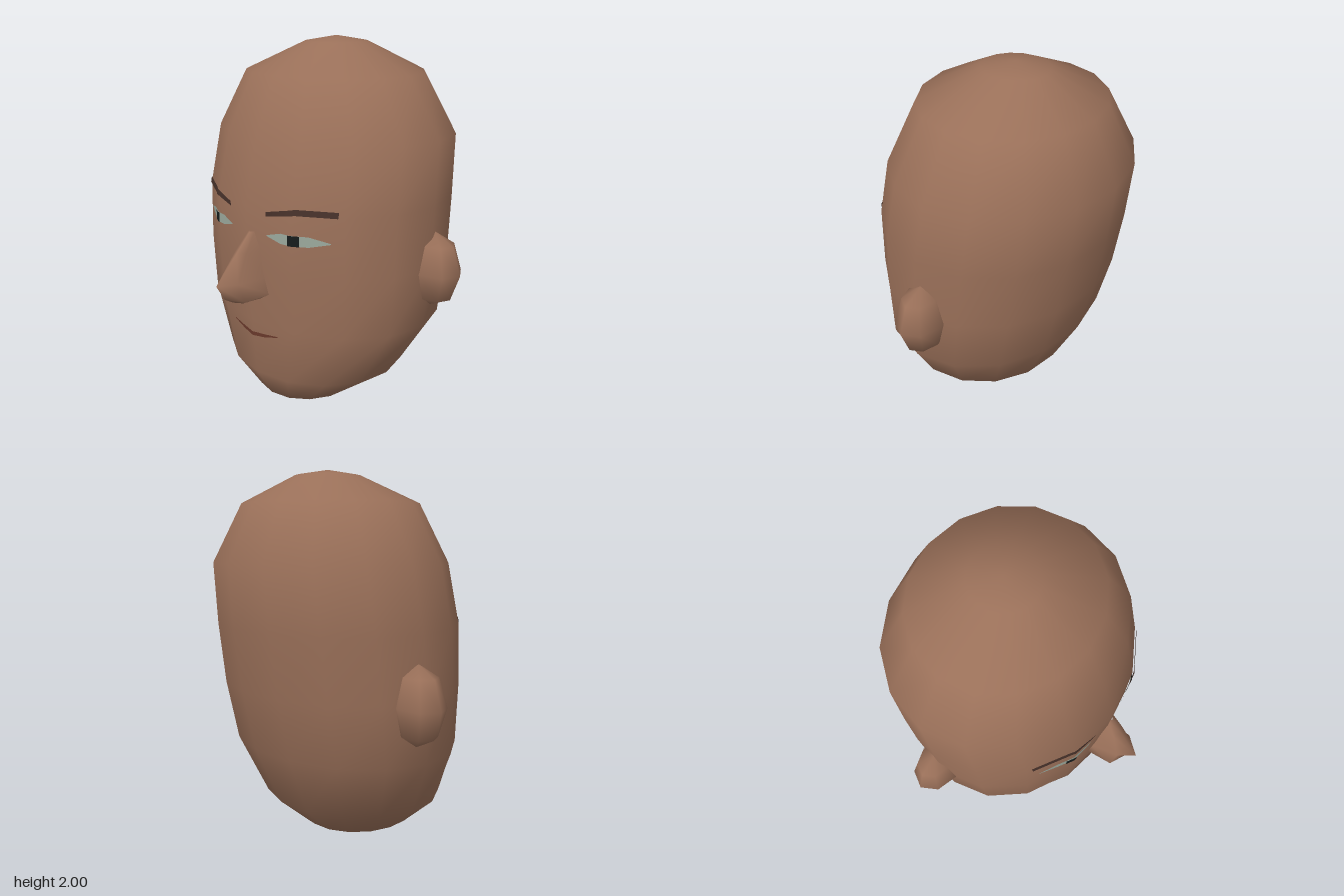
import * as THREE from 'three';

const SIDES = 16;
// Skull cross-sections, chin to crown: [y, half width, front z, back z]
const RINGS = [
  [0, 0.3, 0.39, -0.26],
  [0.19, 0.54, 0.5, -0.48],
  [0.52, 0.72, 0.52, -0.63],
  [0.85, 0.735, 0.54, -0.7],
  [1.18, 0.725, 0.54, -0.74],
  [1.51, 0.7, 0.46, -0.76],
  [1.82, 0.51, 0.33, -0.61],
  [1.97, 0.17, 0.03, -0.33],
];

const material = (color, side = THREE.FrontSide) =>
  new THREE.MeshStandardMaterial({ color, side, roughness: 0.9 });

function meshFrom(name, positions, index, mat) {
  const geometry = new THREE.BufferGeometry();
  geometry.setAttribute('position', new THREE.Float32BufferAttribute(positions, 3));
  geometry.setIndex(index);
  geometry.computeVertexNormals();
  const mesh = new THREE.Mesh(geometry, mat);
  mesh.name = name;
  return mesh;
}

// Point k of an elliptical ring; k = 0 is the middle of the face, then towards +x
function ringPoint([y, w, front, back], k) {
  const a = (k / SIDES) * Math.PI * 2;
  return [w * Math.sin(a), y, (front + back) / 2 + ((front - back) / 2) * Math.cos(a)];
}

// Depth of the faceted face at (x, y), so features lie on the skin
function faceZ(x, y) {
  const i = Math.max(1, RINGS.findIndex((r) => r[0] >= y));
  const t = (y - RINGS[i - 1][0]) / (RINGS[i][0] - RINGS[i - 1][0]);
  const ring = RINGS[i].map((v, n) => THREE.MathUtils.lerp(RINGS[i - 1][n], v, t));
  let k = 0;
  while (k < 3 && ringPoint(ring, k + 1)[0] < Math.abs(x)) k++;
  const a = ringPoint(ring, k), b = ringPoint(ring, k + 1);
  return THREE.MathUtils.mapLinear(Math.abs(x), a[0], b[0], a[2], b[2]);
}

function makeSkull(mat) {
  const p = [], index = [];
  for (const ring of RINGS) for (let k = 0; k < SIDES; k++) p.push(...ringPoint(ring, k));
  const last = (RINGS.length - 1) * SIDES, bottom = RINGS.length * SIDES;
  p.push(0, 0, 0.065, 0, 2, -0.15);
  for (let k = 0; k < SIDES; k++) {
    const n = (k + 1) % SIDES;
    for (let r = 0; r < last; r += SIDES) {
      index.push(r + k, r + n, r + SIDES + n, r + k, r + SIDES + n, r + SIDES + k);
    }
    index.push(bottom, n, k, bottom + 1, last + k, last + n);
  }
  return meshFrom('skull', p, index, mat);
}

// Thin strip wrapped on the face; stations are [x, low y, high y]
function faceStrip(name, stations, side, lift, mat) {
  const p = [], index = [], steps = 8;
  for (let s = 0; s < stations.length - 1; s++) {
    for (let j = s ? 1 : 0; j <= steps; j++) {
      const [x, low, high] = stations[s].map((v, n) =>
        THREE.MathUtils.lerp(v, stations[s + 1][n], j / steps));
      for (const y of [low, high]) p.push(side * x, y, faceZ(x, y) + lift);
    }
  }
  for (let i = 0; i < p.length / 3 - 2; i += 2) index.push(i, i + 2, i + 3, i, i + 3, i + 1);
  return meshFrom(name, p, index, mat);
}

function makeNose(mat) {
  // Rows down the nose: [y, half base, half middle, middle z, ridge z, centre x]
  const rows = [
    [1.05, 0.03, 0.02, 0.53, 0.545, 0.03],
    [0.95, 0.075, 0.04, 0.6, 0.63, 0.02],
    [0.8, 0.105, 0.065, 0.67, 0.76, 0.005],
    [0.71, 0.122, 0.105, 0.66, 0.71, 0.005],
    [0.67, 0.07, 0.045, 0.62, 0.65, 0],
    [0.69, 0.05, 0.03, 0.5, 0.5, 0],
  ];
  const p = [], index = [];
  for (const [y, base, mid, midZ, ridge, cx] of rows) {
    for (const [x, z] of [[-base, 0.5], [-mid, midZ], [0, ridge], [mid, midZ], [base, 0.5]]) {
      p.push(x + cx, y, z);
    }
  }
  for (let r = 0; r < rows.length - 1; r++) {
    for (let k = 0; k < 4; k++) {
      const a = r * 5 + k;
      index.push(a, a + 5, a + 6, a, a + 6, a + 1);
    }
  }
  return meshFrom('nose', p, index, mat);
}

export function createModel() {
  const head = new THREE.Group();
  head.name = 'head';
  const skin = material(0x9a7059);
  const white = material(0x9aa89c, THREE.DoubleSide);
  const dark = material(0x161c1c, THREE.DoubleSide);
  const hair = material(0x453029, THREE.DoubleSide);
  const lip = material(0x6b3a2c, THREE.DoubleSide);

  head.add(makeSkull(skin), makeNose(skin));

  for (const side of [1, -1]) {
    const label = side > 0 ? 'left' : 'right';

    // Low-sided rounded ear
    const ear = new THREE.Mesh(new THREE.SphereGeometry(1, 8, 4), skin);
    ear.name = label + 'Ear';
    ear.scale.set(0.17, 0.21, 0.125);
    ear.position.set(side * 0.715, 0.835, -0.125);
    head.add(ear);

    // Almond eye, square iris and angled eyebrow
    head.add(
      faceStrip(label + 'Eye', [[0.135, 1.045, 1.05], [0.22, 1.02, 1.075],
        [0.36, 1.02, 1.075], [0.46, 1.045, 1.05]], side, 0.007, white),
      faceStrip(label + 'Iris', [[0.265, 1.02, 1.076], [0.322, 1.02, 1.076]], side, 0.012, dark),
      faceStrip(label + 'Eyebrow', [[0.135, 1.15, 1.175], [0.3, 1.182, 1.212],
        [0.49, 1.182, 1.212]], side, 0.012, hair),
    );
  }

  // Narrow crescent mouth
  head.add(faceStrip('mouth', [[-0.17, 0.463, 0.468], [-0.08, 0.438, 0.458],
    [0, 0.428, 0.452], [0.08, 0.438, 0.458], [0.17, 0.463, 0.468]], 1, 0.008, lip));
  return head;
}
